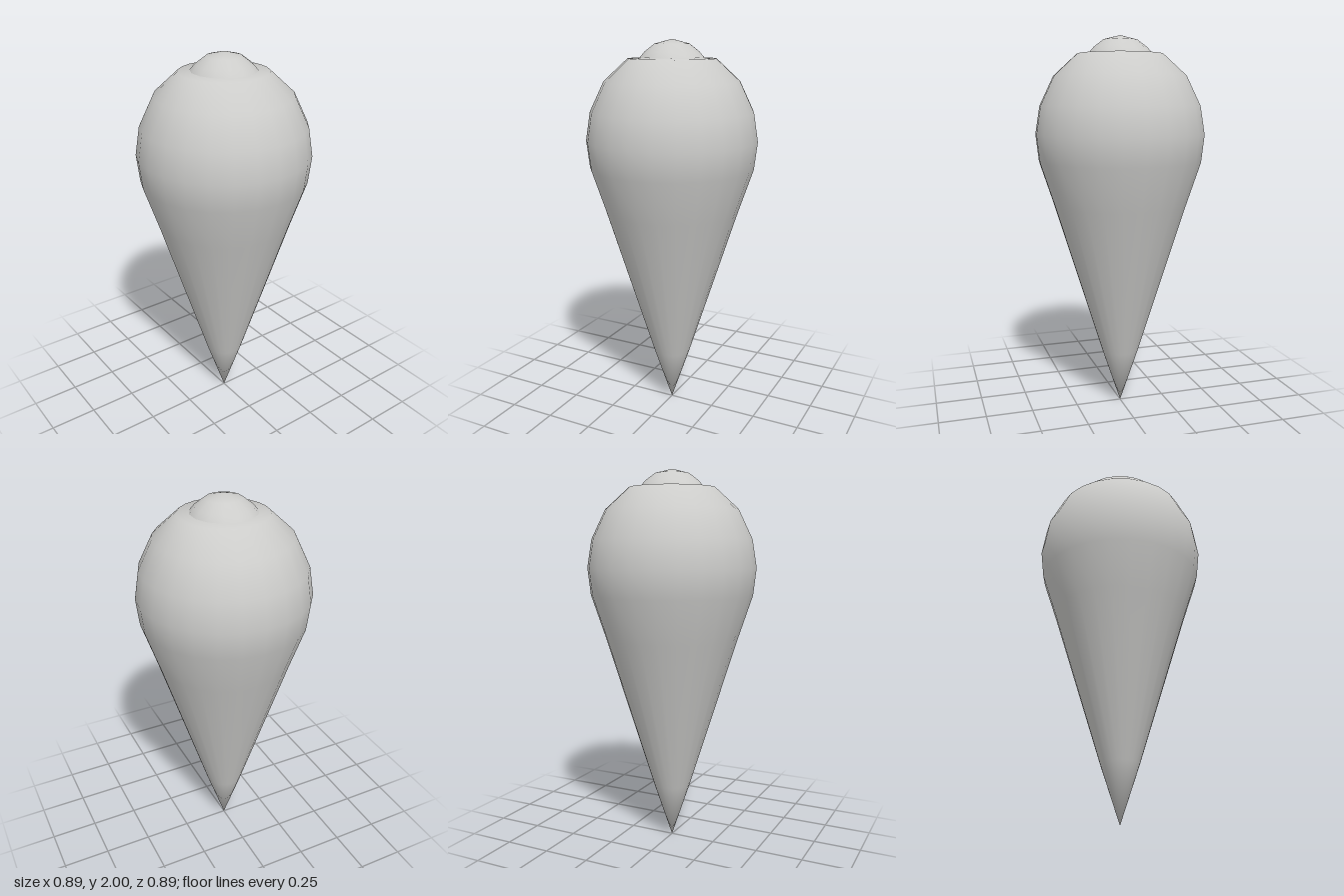
import * as THREE from 'three';
import { mergeVertices } from 'three/addons/utils/BufferGeometryUtils.js';

// Smooth turned solid: seam and poles are welded so shading runs across them
function turned(name, points, sides, material) {
  const lathe = new THREE.LatheGeometry(points.map(([r, y]) => new THREE.Vector2(r, y)), sides);
  lathe.deleteAttribute('normal');
  lathe.deleteAttribute('uv');
  const geometry = mergeVertices(lathe, 1e-4);
  geometry.computeVertexNormals();
  const mesh = new THREE.Mesh(geometry, material);
  mesh.name = name;
  return mesh;
}

export function createModel() {
  const group = new THREE.Group();
  group.name = 'teardrop';
  const grey = new THREE.MeshStandardMaterial({ color: 0xccccca, side: THREE.DoubleSide });
  grey.name = 'pale grey';

  // Body: pointed tip, straight flanks, rounded shoulders, nearly flat crown
  group.add(turned('body', [
    [0, 0], [0.1, 0.3], [0.355, 1.12], [0.431, 1.35], [0.447, 1.493],
    [0.423, 1.64], [0.349, 1.793], [0.226, 1.905], [0, 1.915],
  ], 24, grey));

  // Small dome on the crown
  group.add(turned('topCap', [
    [0.167, 1.909], [0.142, 1.938], [0.09, 1.977], [0, 2],
  ], 14, grey));

  return group;
}
